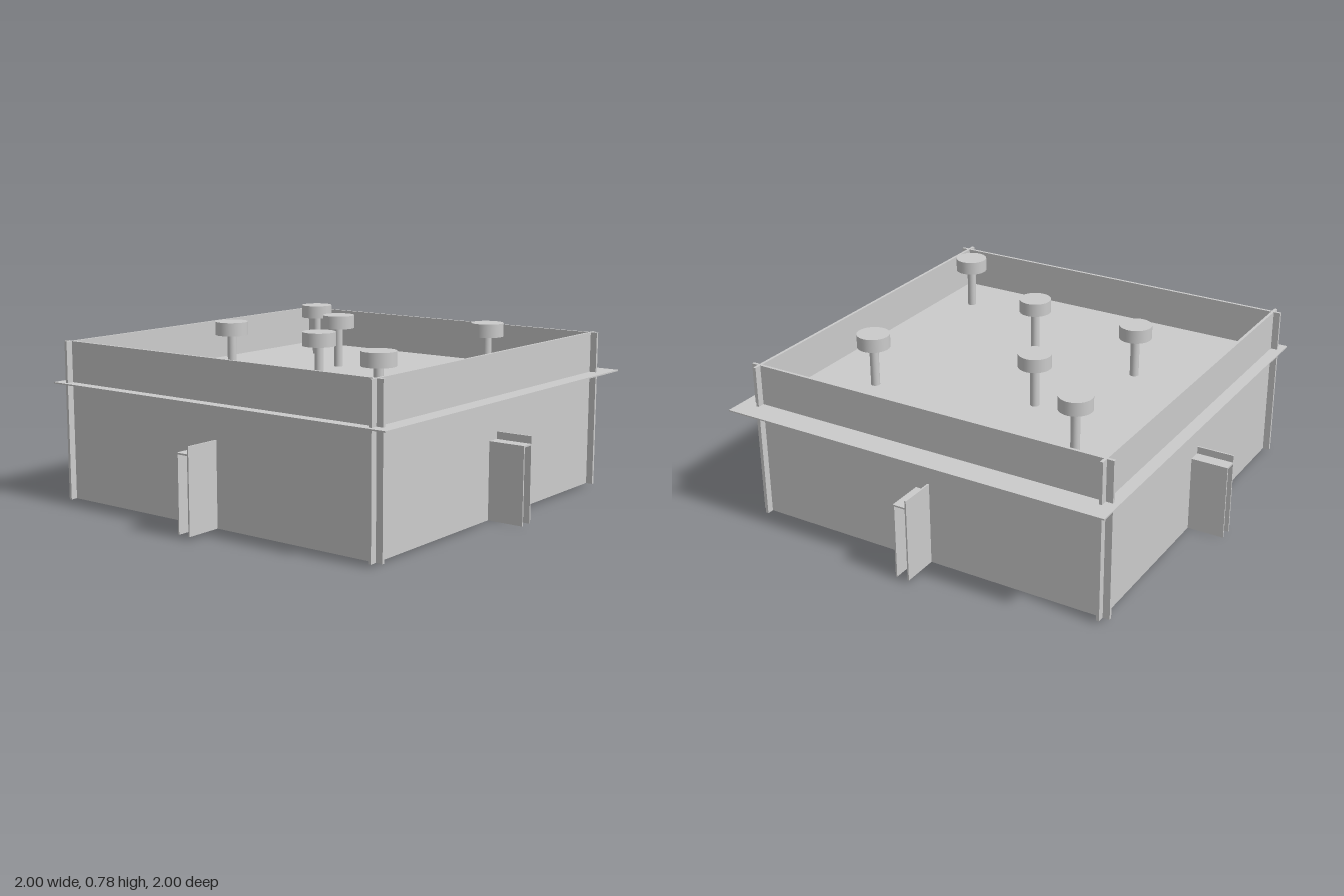
import * as THREE from 'three';

export function createModel() {
  const model = new THREE.Group();
  const material = new THREE.MeshStandardMaterial({ color: 0xcccccc });

  const add = (parent, name, geometry, x = 0, y = 0, z = 0) => {
    const mesh = new THREE.Mesh(geometry, material);
    mesh.name = name;
    mesh.position.set(x, y, z);
    parent.add(mesh);
    return mesh;
  };
  // Box given by its minimum and maximum corners
  const addBox = (parent, name, [x0, y0, z0], [x1, y1, z1]) =>
    add(parent, name, new THREE.BoxGeometry(x1 - x0, y1 - y0, z1 - z0),
      (x0 + x1) / 2, (y0 + y1) / 2, (z0 + z1) / 2);

  const base = 0.013, wallTop = 0.72, doorTop = 0.35, half = 0.865;

  // Wall outline with a narrow doorway cut up from the bottom edge
  const outline = new THREE.Shape([
    [-half, base], [-0.033, base], [-0.033, doorTop], [0.025, doorTop],
    [0.025, base], [half, base], [half, wallTop], [-half, wallTop],
  ].map(([x, y]) => new THREE.Vector2(x, y)));
  const wallGeometry = new THREE.ExtrudeGeometry(outline, { depth: 0.013, bevelEnabled: false });

  // Four walls crossing at the corners, each with a small entrance tunnel
  for (let i = 0; i < 4; i++) {
    const side = new THREE.Group();
    side.name = 'wallSide' + (i + 1);
    side.rotation.y = i * Math.PI / 2;
    add(side, 'wall', wallGeometry, 0, 0, 0.821);
    addBox(side, 'shortTunnelPanel', [-0.039, base, 0.825], [-0.032, 0.347, 1]);
    addBox(side, 'tallTunnelPanel', [0.019, base, 0.825], [0.026, 0.385, 1]);
    addBox(side, 'tunnelRoof', [-0.039, 0.346, 0.825], [0.022, 0.353, 1]);
    model.add(side);
  }

  // Thin platform passing through the walls
  addBox(model, 'platform', [-0.885, 0.532, -0.89], [0.953, 0.538, 0.912]);

  // Standing pins with a knob above and a foot below
  const knob = new THREE.CylinderGeometry(0.073, 0.073, 0.06, 32);
  const foot = new THREE.CylinderGeometry(0.064, 0.064, 0.075, 32);
  const rod = new THREE.CylinderGeometry(0.02, 0.02, 0.7, 20);
  const pins = [[-0.585, 0.66], [0.425, 0.525], [-0.28, 0.12], [-0.24, -0.415], [0.25, -0.185], [0.52, -0.53]];
  for (const [x, z] of pins) {
    const pin = new THREE.Group();
    pin.name = 'pin';
    pin.position.set(x, 0, z);
    add(pin, 'knob', knob, 0, 0.75, 0);
    add(pin, 'rod', rod, 0, 0.39, 0);
    add(pin, 'foot', foot, 0, 0.0375, 0);
    model.add(pin);
  }

  // Small loose blocks at floor level: x, z, turn
  const block = new THREE.BoxGeometry(0.09, 0.037, 0.018);
  const blocks = [
    [0.4, -0.2, 0], [0.12, -0.4, 1.57], [0.14, -0.02, -0.69], [0.2, 0.42, -0.98],
    [0.22, 0.26, 1.57], [-0.14, 0.47, 0], [-0.19, 0.25, -0.69], [-0.34, 0.44, -0.69],
    [-0.44, 0.19, 1.57], [-0.49, -0.15, -0.98], [-0.38, -0.39, -0.69],
  ];
  for (const [x, z, turn] of blocks) add(model, 'floorBlock', block, x, 0.032, z).rotation.y = turn;

  return model;
}
